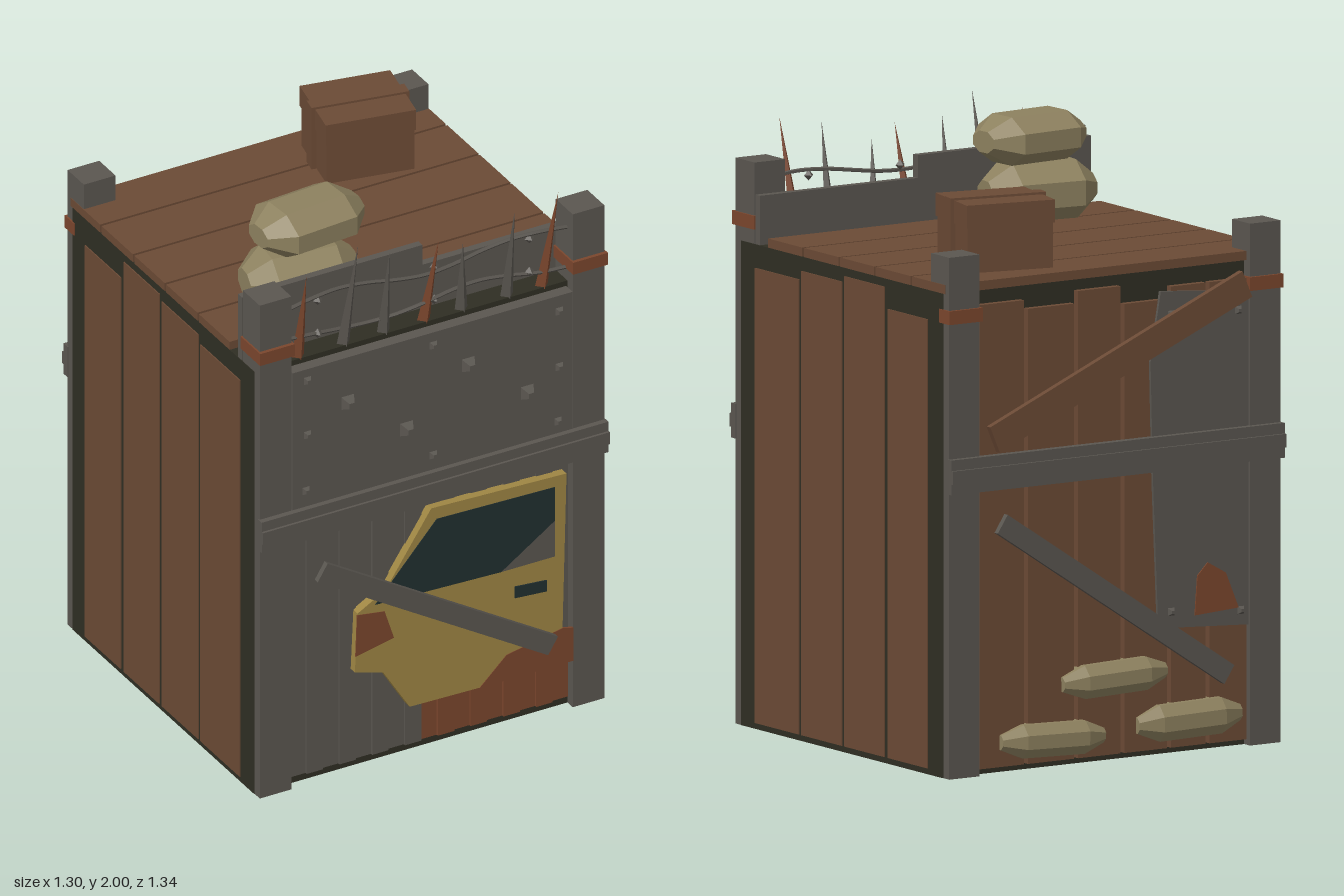
import * as THREE from 'three';

const mat = (name, color, side = THREE.FrontSide) => {
  const m = new THREE.MeshStandardMaterial({ color, flatShading: true, side });
  m.name = name;
  return m;
};

export function createModel() {
  const root = new THREE.Group();
  root.name = 'scrapHut';
  const dark = mat('darkCore', 0x2f2e23);
  const wood = mat('brownWood', 0x6b4a35);
  const grey = mat('greyMetal', 0x5a5650);
  const rust = mat('rust', 0x7b462d);
  const yellow = mat('yellowPaint', 0x9f8643);
  const glass = mat('darkGlass', 0x212f30);
  const cloth = mat('sackCloth', 0x8d815f);

  const add = (name, geo, m, x = 0, y = 0, z = 0, parent = root) => {
    const mesh = new THREE.Mesh(geo, m);
    mesh.name = name;
    mesh.position.set(x, y, z);
    parent.add(mesh);
    return mesh;
  };
  // box given by its limits
  const box = (name, m, x0, x1, y0, y1, z0, z1) =>
    add(name, new THREE.BoxGeometry(x1 - x0, y1 - y0, z1 - z0), m, (x0 + x1) / 2, (y0 + y1) / 2, (z0 + z1) / 2);
  // flat polygon plate in the xy plane
  const plate = (name, m, pts, z, depth) =>
    add(name, new THREE.ExtrudeGeometry(new THREE.Shape(pts.map(p => new THREE.Vector2(...p))),
      { depth, bevelEnabled: false }), m, 0, 0, z);
  // slanted board between two points
  const board = (name, m, [ax, ay], [bx, by], w, z0, z1) => {
    const b = add(name, new THREE.BoxGeometry(Math.hypot(bx - ax, by - ay), w, z1 - z0), m,
      (ax + bx) / 2, (ay + by) / 2, (z0 + z1) / 2);
    b.rotation.z = Math.atan2(by - ay, bx - ax);
  };

  // Hollow core, open underneath
  box('frontWall', dark, -0.64, 0.64, 0, 1.59, 0.57, 0.597);
  box('backWall', dark, -0.64, 0.64, 0, 1.59, -0.597, -0.57);
  box('roofBase', dark, -0.645, 0.645, 1.56, 1.597, -0.597, 0.597);
  for (const s of [-1, 1]) {
    const a = s * 0.62, b = s * 0.645;
    box('sideWall', dark, Math.min(a, b), Math.max(a, b), 0, 1.59, -0.597, 0.597);
    // Side planks: z limits and top
    for (const [z0, z1, top] of [[0.25, 0.51, 1.52], [-0.005, 0.235, 1.55], [-0.255, -0.02, 1.57], [-0.51, -0.275, 1.5]])
      box('sidePlank', wood, s * 0.643 - 0.006, s * 0.643 + 0.006, 0.02, top, z0, z1);
    // Corner posts with rusty bands
    const x0 = s > 0 ? 0.525 : -0.643, x1 = s > 0 ? 0.643 : -0.525;
    box('frontPost', grey, x0, x1, 0, 1.865, 0.52, 0.632);
    box('backPost', grey, x0, x1, 0, 1.72, -0.632, -0.525);
    box('frontBand', rust, x0 - 0.006, x1 + 0.006, 1.645, 1.69, 0.515, 0.645);
    box('backBand', rust, x0 - 0.006, x1 + 0.006, 1.5, 1.545, -0.642, -0.58);
  }

  // Roof planks
  [[-0.61, -0.415], [-0.405, -0.2], [-0.19, 0.01], [0.02, 0.225], [0.235, 0.437]].forEach(([z0, z1]) =>
    box('roofPlank', wood, -0.645, 0.645, 1.597, 1.627, z0, z1));

  // Parapet behind the spikes
  box('parapetHigh', grey, -0.643, 0.03, 1.595, 1.835, 0.488, 0.515);
  box('parapetLow', grey, 0.03, 0.643, 1.595, 1.76, 0.488, 0.515);

  // Corrugated lower front, rusted at the bottom right
  const n = 17, w = 1.04 / n;
  for (let i = 0; i < n; i++) {
    const x = -0.52 + i * w, z = 0.608 + (i % 2) * 0.008, rusty = x > -0.06;
    box('corrugatedRib', grey, x, x + w, rusty ? 0.19 : 0.03, 0.95, 0.595, z);
    if (rusty) box('rustedRib', rust, x, x + w, 0.03, 0.19, 0.595, z);
  }

  // Upper front sheet with rivets and studs
  box('frontSheet', grey, -0.525, 0.52, 1.06, 1.578, 0.595, 0.64);
  const stud = (x, y, z, r, h) => {
    const g = new THREE.CylinderGeometry(r * 0.45, r * 1.2, h, 4);
    g.rotateY(Math.PI / 4).rotateX(Math.sign(z) * Math.PI / 2);
    add('rivet', g, grey, x, y, z);
  };
  for (const [x, y] of [[-0.47, 1.535], [0, 1.53], [0.47, 1.52], [-0.47, 1.33], [0.47, 1.31],
    [-0.475, 1.12], [0, 1.115], [0.465, 1.105]]) stud(x, y, 0.645, 0.018, 0.016);
  for (const [x, y] of [[-0.32, 1.41], [0.13, 1.42], [-0.1, 1.245], [0.35, 1.25]]) stud(x, y, 0.653, 0.03, 0.034);

  // Cross beams, front and back: grooved by a proud middle strip
  for (const s of [-1, 1]) {
    const zz = (a, b) => s > 0 ? [a, b] : [-b, -a];
    box('crossBeam', grey, -0.647, 0.647, 0.94, 1.055, ...zz(0.625, 0.652));
    box('beamRidge', grey, -0.647, 0.647, 0.975, 1.02, ...zz(0.645, 0.661));
  }

  // Salvaged vehicle door
  plate('door', yellow, [[-0.01, 0.917], [0.495, 0.9], [0.48, 0.315], [0.27, 0.28], [0.17, 0.185], [-0.09, 0.19],
    [-0.19, 0.35], [-0.295, 0.38], [-0.285, 0.6], [-0.18, 0.66]], 0.612, 0.032);
  plate('doorWindow', glass, [[0.01, 0.872], [0.45, 0.862], [0.45, 0.735], [0.25, 0.6], [-0.22, 0.615]], 0.642, 0.004);
  plate('brokenWindowCorner', grey, [[0.45, 0.735], [0.45, 0.6], [0.25, 0.6]], 0.642, 0.004);
  plate('doorHandle', glass, [[0.3, 0.53], [0.42, 0.52], [0.42, 0.478], [0.3, 0.487]], 0.642, 0.006);
  plate('doorRustSide', rust, [[-0.287, 0.595], [-0.185, 0.58], [-0.15, 0.47], [-0.293, 0.44]], 0.642, 0.004);
  plate('doorRustCorner', rust, [[0.17, 0.185], [0.27, 0.28], [0.4, 0.305], [0.48, 0.32], [0.52, 0.31], [0.52, 0.185]], 0.638, 0.008);
  board('frontBrace', grey, [-0.43, 0.81], [0.43, 0.28], 0.07, 0.65, 0.67);

  // Spikes leaning outward: base x, tip x, tip y, rusty
  for (const [x, tx, ty, r] of [[-0.47, -0.475, 1.93, 1], [-0.3, -0.29, 2, 0], [-0.15, -0.165, 1.93, 0],
    [0, 0.02, 1.92, 1], [0.14, 0.115, 1.88, 0], [0.31, 0.3, 1.95, 0], [0.44, 0.46, 1.98, 1]]) {
    const a = new THREE.Vector3(x, 1.595, 0.575), d = new THREE.Vector3(tx, ty, 0.575 + (ty - 1.595) * 0.2).sub(a);
    const g = new THREE.ConeGeometry(0.024, d.length(), 4).translate(0, d.length() / 2, 0);
    add('spike', g, r ? rust : grey, a.x, a.y, a.z).quaternion
      .setFromUnitVectors(new THREE.Vector3(0, 1, 0), d.normalize());
  }
  // Sagging wires strung across the spikes
  for (const [y, k] of [[1.79, 0], [1.665, 2]]) {
    const pts = [];
    for (let i = 0; i <= 10; i++)
      pts.push(new THREE.Vector3(-0.53 + i * 0.106, y + 0.018 * Math.sin(i * 0.9 + k), 0.585 + 0.008 * Math.cos(i * 1.3)));
    add('wire', new THREE.TubeGeometry(new THREE.CatmullRomCurve3(pts), 40, 0.007, 5), grey);
    for (const x of [-0.4, 0.035, 0.39])
      add('wireKnot', new THREE.OctahedronGeometry(0.018), grey, x, y, 0.585);
  }

  // Sacks: eight-sided lathe laid on its side
  const sack = (x, y, z, lx, ly, lz, ry, rz = 0) => {
    const prof = [[0, -0.5], [0.22, -0.5], [0.5, -0.3], [0.5, 0.3], [0.22, 0.5], [0, 0.5]].map(p => new THREE.Vector2(...p));
    const g = new THREE.LatheGeometry(prof, 8, Math.PI / 8).rotateZ(Math.PI / 2).scale(lx, ly * 1.08, lz * 1.08);
    add('sack', g, cloth, x, y, z).rotation.set(0, ry, rz);
  };
  sack(-0.305, 1.718, 0.29, 0.38, 0.2, 0.25, -0.12);
  sack(-0.27, 1.9, 0.283, 0.38, 0.16, 0.25, 0.08);
  sack(0.24, 0.095, -0.62, 0.4, 0.11, 0.1, 0, 0.03);
  sack(0, 0.275, -0.62, 0.4, 0.11, 0.1, 0, -0.03);
  sack(-0.29, 0.11, -0.62, 0.4, 0.12, 0.1, 0, -0.02);

  // Strapped crate
  const crate = new THREE.Group();
  crate.name = 'crate';
  crate.position.set(0.293, 1.627, -0.372);
  crate.rotation.y = -0.19;
  root.add(crate);
  add('crateBody', new THREE.BoxGeometry(0.3, 0.15, 0.255), wood, 0, 0.075, 0, crate);
  add('crateLid', new THREE.BoxGeometry(0.31, 0.075, 0.265), wood, 0, 0.187, 0, crate);
  add('crateStrap', new THREE.BoxGeometry(0.335, 0.232, 0.05), wood, 0, 0.116, 0, crate);

  // Back planks: x limits and top
  for (const [x0, x1, top] of [[0.345, 0.515, 1.55], [0.15, 0.33, 1.52], [-0.03, 0.135, 1.56],
    [-0.21, -0.045, 1.5], [-0.36, -0.225, 1.54], [-0.52, -0.375, 1.54]])
    box('backPlank', wood, x0, x1, 0.02, top, -0.62, -0.595);
  // Patch sheet with a rust stain
  plate('backSheet', grey, [[-0.52, 0.4], [-0.17, 0.42], [-0.15, 0.9], [-0.14, 1.3], [-0.18, 1.53], [-0.52, 1.5]], -0.63, 0.012);
  plate('backRust', rust, [[-0.48, 0.46], [-0.31, 0.45], [-0.32, 0.58], [-0.36, 0.62], [-0.43, 0.58]], -0.634, 0.005);
  for (const [x, y] of [[-0.22, 0.47], [-0.49, 0.45], [-0.22, 1.45], [-0.48, 1.44]]) stud(x, y, -0.636, 0.016, 0.014);
  board('backBoard', wood, [0.49, 1.11], [-0.49, 1.53], 0.095, -0.67, -0.648);
  board('backBrace', grey, [0.46, 0.83], [-0.42, 0.25], 0.07, -0.67, -0.65);

  return root;
}
